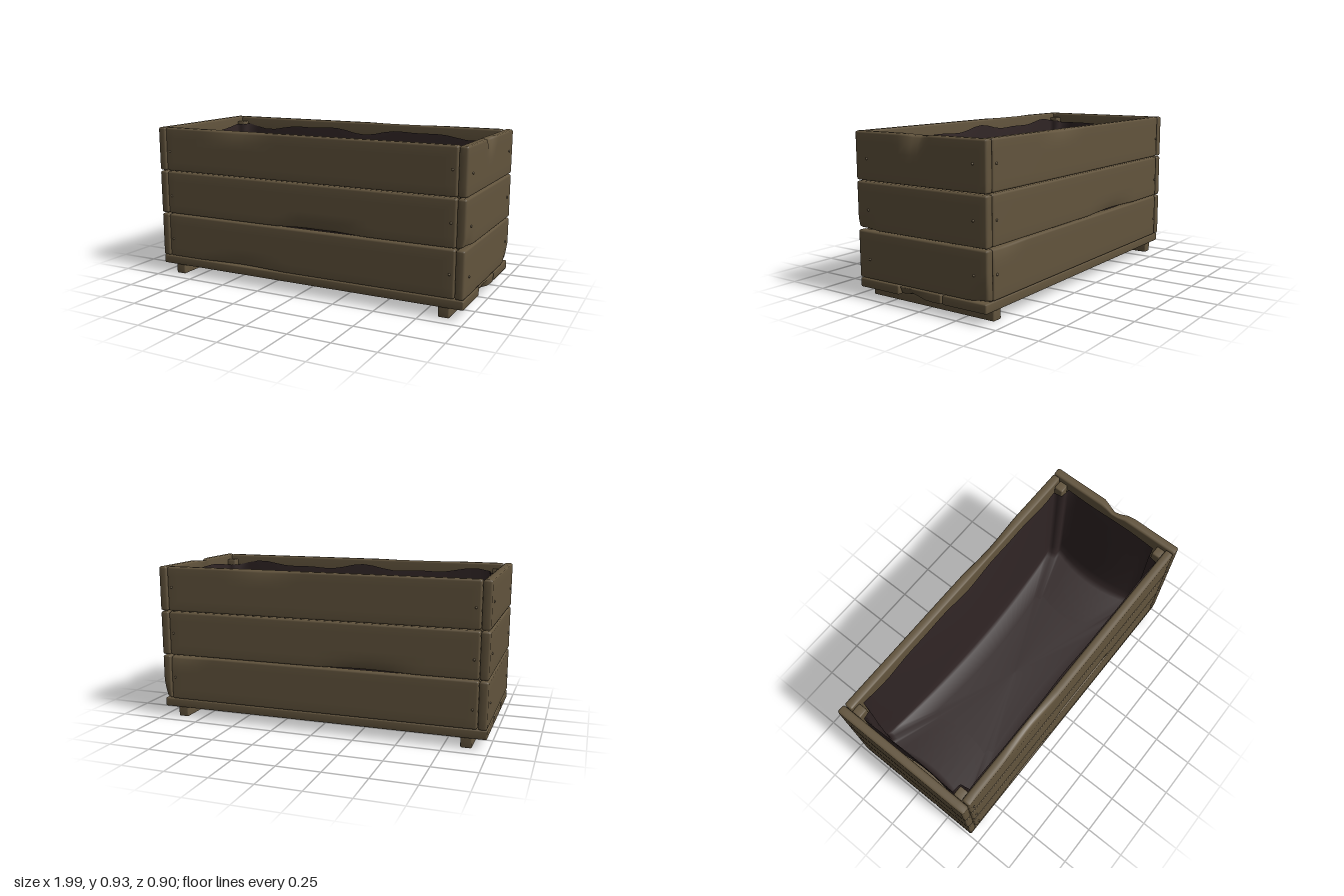
import * as THREE from 'three';
import { mergeVertices } from 'three/addons/utils/BufferGeometryUtils.js';

const wood = new THREE.MeshStandardMaterial({ name: 'weatheredWood', color: 0x62543d });
const cloth = new THREE.MeshStandardMaterial({ name: 'darkLiner', color: 0x2f2424, side: THREE.DoubleSide });

// Plank between two corners, with softened edges and optional worn spots.
// A worn spot is { at: [x,y,z], size: [x,y,z], push: [x,y,z] }.
function plank(name, min, max, worn = [], r = 0.012) {
  const lo = new THREE.Vector3(...min), hi = new THREE.Vector3(...max);
  const size = hi.clone().sub(lo), mid = hi.clone().add(lo).multiplyScalar(0.5);
  const segs = size.toArray().map(s => Math.max(4, Math.min(36, Math.round(s / 0.04))));
  let geo = new THREE.BoxGeometry(...size.toArray(), ...segs);
  const pos = geo.attributes.position, v = new THREE.Vector3(), core = new THREE.Vector3();
  for (let i = 0; i < pos.count; i++) {
    v.fromBufferAttribute(pos, i);
    ['x', 'y', 'z'].forEach((a, k) => {
      const n = segs[k], h = size[a] / 2, j = Math.round((v[a] / size[a] + 0.5) * n);
      v[a] = j === 0 ? -h : j === n ? h : -h + r + (2 * (h - r) * (j - 1)) / (n - 2);
      core[a] = THREE.MathUtils.clamp(v[a], r - h, h - r);
    });
    v.sub(core);
    if (v.lengthSq() > 0) v.setLength(r);
    v.add(core).add(mid);
    for (const w of worn) {
      const d = Math.hypot(...['x', 'y', 'z'].map((a, k) => (v[a] - w.at[k]) / w.size[k]));
      const f = Math.max(0, 1 - d);
      v.x += w.push[0] * f; v.y += w.push[1] * f; v.z += w.push[2] * f;
    }
    pos.setXYZ(i, v.x, v.y, v.z);
  }
  geo.deleteAttribute('normal');
  geo.deleteAttribute('uv');
  geo = mergeVertices(geo, 1e-4);
  geo.computeVertexNormals();
  const mesh = new THREE.Mesh(geo, wood);
  mesh.name = name;
  return mesh;
}

// Sagging cloth lining, folded around the four corner posts
function makeLiner() {
  const corner = [[0.925, 0.315], [0.87, 0.325], [0.86, 0.38]];
  const flip = ([x, z], a, b) => [x * a, z * b];
  const outline = [
    ...corner,
    ...corner.map(p => flip(p, -1, 1)).reverse(),
    ...corner.map(p => flip(p, -1, -1)),
    ...corner.map(p => flip(p, 1, -1)).reverse(),
  ];
  const ring = [];
  outline.forEach(([x, z], i) => {
    const [x2, z2] = outline[(i + 1) % outline.length];
    const n = Math.max(2, Math.round(Math.hypot(x2 - x, z2 - z) / 0.07));
    for (let k = 0; k < n; k++) ring.push([x + ((x2 - x) * k) / n, z + ((z2 - z) * k) / n]);
  });
  // [height, inward sag, scale towards the centre]
  const levels = [[0.875, 0.004, 1], [0.8, 0.015, 1], [0.6, 0.03, 1], [0.4, 0.04, 0.995], [0.22, 0.045, 0.99],
    [0.15, 0.05, 0.98], [0.13, 0.06, 0.95], [0.125, 0.06, 0.6], [0.125, 0, 0]];
  const verts = [], index = [], n = ring.length;
  levels.forEach(([y, sag, s], l) => {
    ring.forEach(([x, z], i) => {
      const wave = Math.sin(x * 9 + z * 5) * 0.014 + Math.sin(x * 17 - z * 11) * 0.008;
      const sx = Math.abs(x) > 0.88 ? Math.max(0, 1 - (z / 0.32) ** 2) : 0;
      const sz = Math.abs(z) > 0.34 ? Math.max(0, 1 - (x / 0.87) ** 2) : 0;
      verts.push((x - Math.sign(x) * sag * sx) * s, y + (l === 0 ? wave : 0), (z - Math.sign(z) * sag * sz) * s);
      if (l < levels.length - 1) {
        const a = l * n + i, b = l * n + ((i + 1) % n);
        index.push(a, b, a + n, b, b + n, a + n);
      }
    });
  });
  const geo = new THREE.BufferGeometry();
  geo.setAttribute('position', new THREE.Float32BufferAttribute(verts, 3));
  geo.setIndex(index);
  geo.computeVertexNormals();
  const mesh = new THREE.Mesh(geo, cloth);
  mesh.name = 'liner';
  return mesh;
}

export function createModel() {
  const planter = new THREE.Group();
  planter.name = 'planterBox';

  // Worn edges, per row of boards
  const frontWear = [
    [{ at: [-0.4, 0.115, 0.44], size: [0.3, 0.04, 0.04], push: [0, 0.008, -0.01] }],
    [{ at: [0.12, 0.392, 0.44], size: [0.3, 0.05, 0.04], push: [0, 0.012, -0.02] }],
    [{ at: [-0.4, 0.93, 0.44], size: [0.25, 0.06, 0.04], push: [0, -0.006, -0.014] }],
  ];
  const backWear = [
    [{ at: [0.85, 0.387, -0.44], size: [0.2, 0.05, 0.04], push: [0, -0.01, 0.012] }],
    [{ at: [-0.3, 0.392, -0.44], size: [0.3, 0.05, 0.04], push: [0, 0.008, 0.012] }],
    [{ at: [0.3, 0.93, -0.44], size: [0.25, 0.05, 0.04], push: [0, -0.006, 0.012] }],
  ];
  const leftWear = [
    [{ at: [0.99, 0.115, -0.43], size: [0.05, 0.1, 0.1], push: [-0.015, 0.012, 0.012] }],
    [{ at: [0.99, 0.392, 0.42], size: [0.05, 0.05, 0.12], push: [-0.012, 0.01, 0] }],
    [{ at: [0.99, 0.93, 0.01], size: [0.08, 0.08, 0.09], push: [-0.035, -0.012, 0] }],
  ];

  // Three rows of wall boards
  const rows = [[0.116, 0.387], [0.392, 0.658], [0.663, 0.93]];
  rows.forEach(([y0, y1], i) => {
    planter.add(
      plank('frontBoard', [-0.936, y0, 0.39], [0.936, y1, 0.442], frontWear[i]),
      plank('backBoard', [-0.936, y0, -0.442], [0.936, y1, -0.39], backWear[i]),
      plank('leftBoard', [0.938, y0, -0.444], [0.99, y1, 0.444], leftWear[i]),
      plank('rightBoard', [-0.99, y0, -0.444], [-0.938, y1, 0.444]),
    );
  });

  // Floor boards
  [[-0.435, -0.15], [-0.14, 0.144], [0.155, 0.44]].forEach(([z0, z1], i) => {
    const worn = i === 1 ? [{ at: [0.99, 0.06, 0.08], size: [0.06, 0.05, 0.12], push: [-0.03, 0.015, 0] }] : [];
    planter.add(plank('floorBoard', [-0.99, 0.062, z0], [0.99, 0.115, z1], worn, 0.008));
  });

  // Runners under the floor and posts inside the corners
  for (const s of [-1, 1]) {
    planter.add(plank('footRunner', [s * 0.876 - 0.032, 0, -0.42], [s * 0.876 + 0.032, 0.064, 0.424], [], 0.008));
    for (const t of [-1, 1]) {
      planter.add(plank('cornerPost', [s * 0.907 - 0.03, 0.115, t * 0.362 - 0.029],
        [s * 0.907 + 0.03, 0.9, t * 0.362 + 0.029], [], 0.008));
    }
  }

  planter.add(makeLiner());

  // Screw heads near the board ends
  const screwGeo = new THREE.SphereGeometry(0.007, 10, 6);
  const addScrew = (x, y, z) => {
    const screw = new THREE.Mesh(screwGeo, wood);
    screw.name = 'screw';
    screw.position.set(x, y, z);
    planter.add(screw);
  };
  [0.24, 0.515, 0.795].forEach(y => {
    for (const s of [-1, 1]) for (const t of [-1, 1]) {
      addScrew(s * 0.99, y - t * 0.012, t * 0.36);
      addScrew(s * 0.908, y + s * 0.012, t * 0.443);
    }
  });
  return planter;
}
